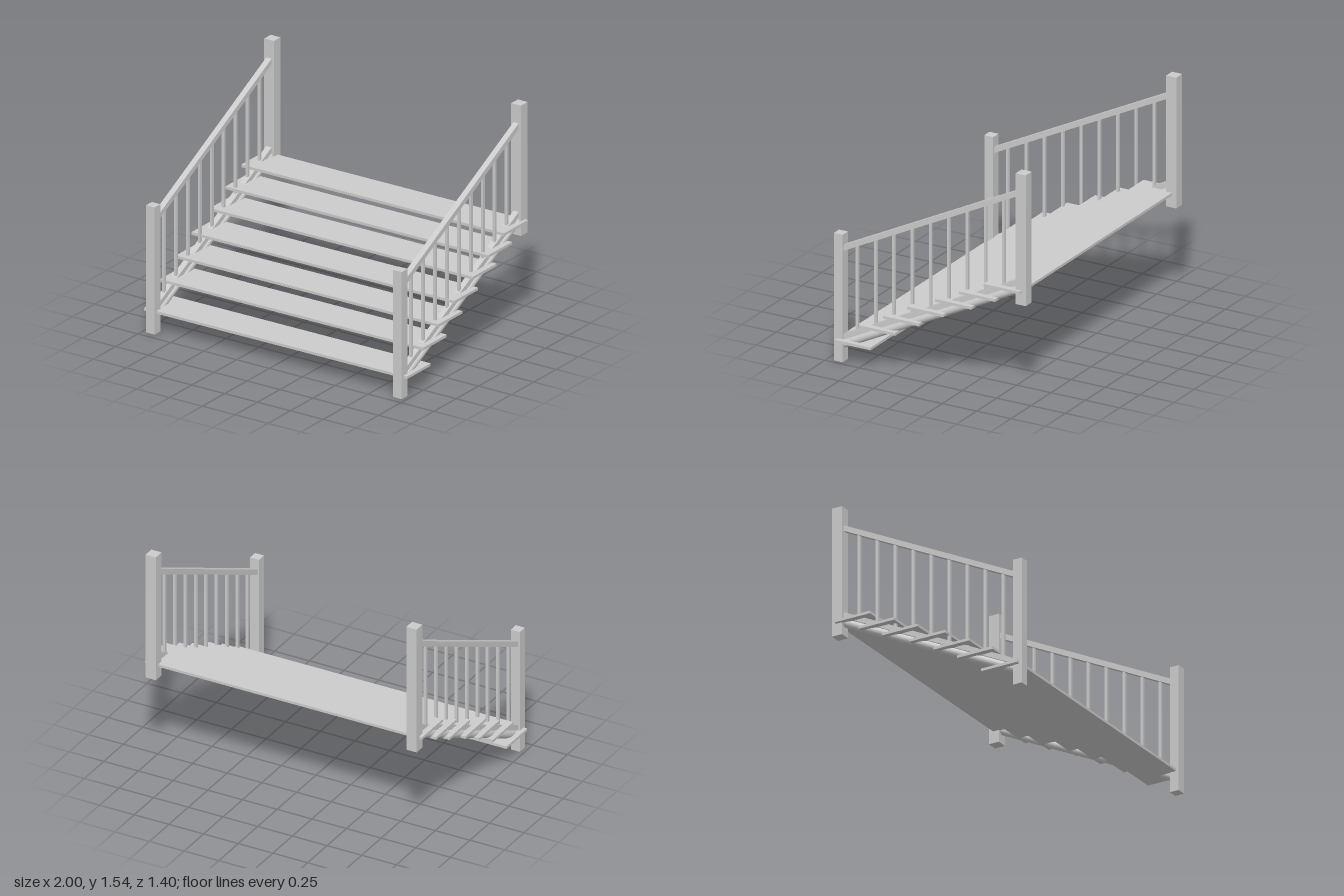
import * as THREE from 'three';

const material = new THREE.MeshStandardMaterial({ color: 0xcccccc });

function add(parent, name, geometry, x, y, z) {
  const mesh = new THREE.Mesh(geometry, material);
  mesh.name = name;
  mesh.position.set(x, y, z);
  parent.add(mesh);
  return mesh;
}

const SLOPE = 0.498;            // rise per unit of run toward the back
const ANGLE = Math.atan(SLOPE);
const RUN = 1.3;                // rails end inside the posts
const LENGTH = RUN / Math.cos(ANGLE);
const RAIL_Z = 0.007;

// Centre heights at RAIL_Z
const HANDRAIL_Y = 1.086;
const LOWER_RAIL_Y = 0.483;
const STRINGER_Y = 0.433;

const heightAt = (base, z) => base + (RAIL_Z - z) * SLOPE;

function createSide(sign) {
  const side = new THREE.Group();
  side.name = sign > 0 ? 'leftRailing' : 'rightRailing';
  const x = sign * 0.94;

  // Newel posts
  add(side, 'frontPost', new THREE.BoxGeometry(0.065, 0.866, 0.065), x, 0.433, 0.668);
  add(side, 'backPost', new THREE.BoxGeometry(0.074, 0.888, 0.074), x, 1.101, -0.662);

  // Sloping square rails
  for (const [name, y] of [['handrail', HANDRAIL_Y], ['lowerRail', LOWER_RAIL_Y]]) {
    const rail = add(side, name, new THREE.BoxGeometry(0.04, 0.035, LENGTH), x, y, RAIL_Z);
    rail.rotation.x = ANGLE;
  }

  // Round stringer carrying the treads
  const stringerGeometry = new THREE.CylinderGeometry(0.0275, 0.0275, LENGTH, 24);
  stringerGeometry.rotateX(Math.PI / 2);
  const stringer = add(side, 'stringer', stringerGeometry, x, STRINGER_Y, RAIL_Z);
  stringer.rotation.x = ANGLE;

  // Balusters between the two square rails
  const balusterGeometry = new THREE.BoxGeometry(0.018, HANDRAIL_Y - LOWER_RAIL_Y, 0.018);
  for (let i = 0; i < 9; i++) {
    const z = 0.547 - i * 0.1333;
    add(side, 'baluster', balusterGeometry, x, heightAt((HANDRAIL_Y + LOWER_RAIL_Y) / 2, z), z);
  }
  return side;
}

export function createModel() {
  const model = new THREE.Group();
  model.name = 'openStaircase';

  model.add(createSide(1), createSide(-1));

  // Open treads: centre height and centre depth
  const treads = [
    [0.145, 0.549], [0.28, 0.37], [0.38, 0.196], [0.479, 0.02],
    [0.572, -0.184], [0.66, -0.358], [0.748, -0.536],
  ];
  const treadGeometry = new THREE.BoxGeometry(2, 0.018, 0.264);
  for (const [y, z] of treads) add(model, 'tread', treadGeometry, 0, y, z);

  return model;
}
